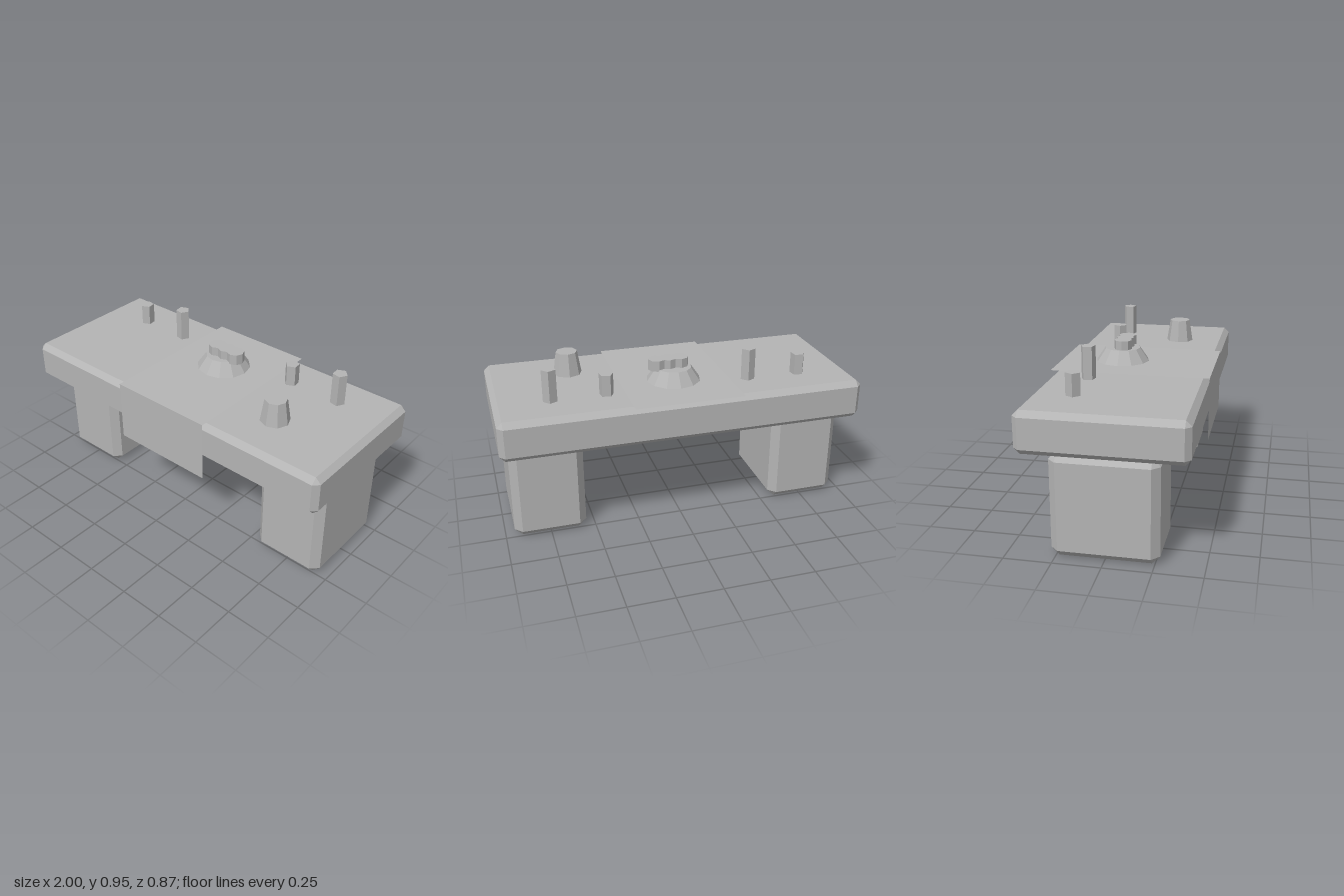
import * as THREE from 'three';
import { ConvexGeometry } from 'three/addons/geometries/ConvexGeometry.js';

const stone = new THREE.MeshStandardMaterial({ color: 0xb4b4b4, flatShading: true });
const cloth = new THREE.MeshStandardMaterial({ color: 0xb5b5b5, side: THREE.DoubleSide });

// Box with every edge cut off at 45 degrees
function chamferedBox(w, h, d, c) {
  const points = [];
  for (const sx of [-1, 1]) for (const sy of [-1, 1]) for (const sz of [-1, 1]) {
    for (const [a, b, e] of [[0, c, c], [c, 0, c], [c, c, 0]]) {
      points.push(new THREE.Vector3(sx * (w / 2 - a), sy * (h / 2 - b), sz * (d / 2 - e)));
    }
  }
  return new ConvexGeometry(points);
}

export function createModel() {
  const group = new THREE.Group();
  const add = (name, geometry, x, y, z, material = stone) => {
    const mesh = new THREE.Mesh(geometry, material);
    mesh.name = name;
    mesh.position.set(x, y, z);
    group.add(mesh);
    return mesh;
  };
  // Upright faceted column standing on height y
  const column = (name, rTop, rBottom, h, sides, x, y, z, turn = 0) => {
    const mesh = add(name, new THREE.CylinderGeometry(rTop, rBottom, h, sides), x, y + h / 2, z);
    mesh.rotation.y = turn;
  };

  // Table slab and its two legs
  add('tableTop', chamferedBox(2, 0.22, 0.85, 0.03), 0, 0.662, 0);
  for (const [name, side] of [['leftLeg', 1], ['rightLeg', -1]]) {
    add(name, chamferedBox(0.4, 0.552, 0.55, 0.041), side * 0.75, 0.276, 0);
  }

  // Cloth runner: flat sheet on top, hanging over the front
  const top = new THREE.PlaneGeometry(0.6, 0.87).rotateX(-Math.PI / 2);
  add('runnerTop', top, 0, 0.776, -0.005, cloth);
  add('runnerDrop', new THREE.PlaneGeometry(0.6, 0.346), 0, 0.603, 0.43, cloth);

  // Candles along the back, short and tall in turn
  [-0.7, -0.4, 0.4, 0.7].forEach((x, i) => {
    const tall = i % 2 === 1;
    const turn = (tall ? 1 : -1) * Math.PI / 2 + 0.12;
    column('candle', 0.04, 0.04, tall ? 0.18 : 0.12, 5, x, 0.77, -0.2, turn);
  });

  // Domed dish with a three-lobed loaf
  column('dish', 0.1, 0.155, 0.08, 12, 0, 0.77, -0.1);
  [-0.038, 0.028, 0.091].forEach((x) => {
    column('loafLobe', 0.05, 0.05, 0.06, 8, x, 0.841, -0.09);
  });

  // Tapered cup
  column('cup', 0.06, 0.08, 0.128, 8, 0.55, 0.777, 0.15);

  return group;
}
